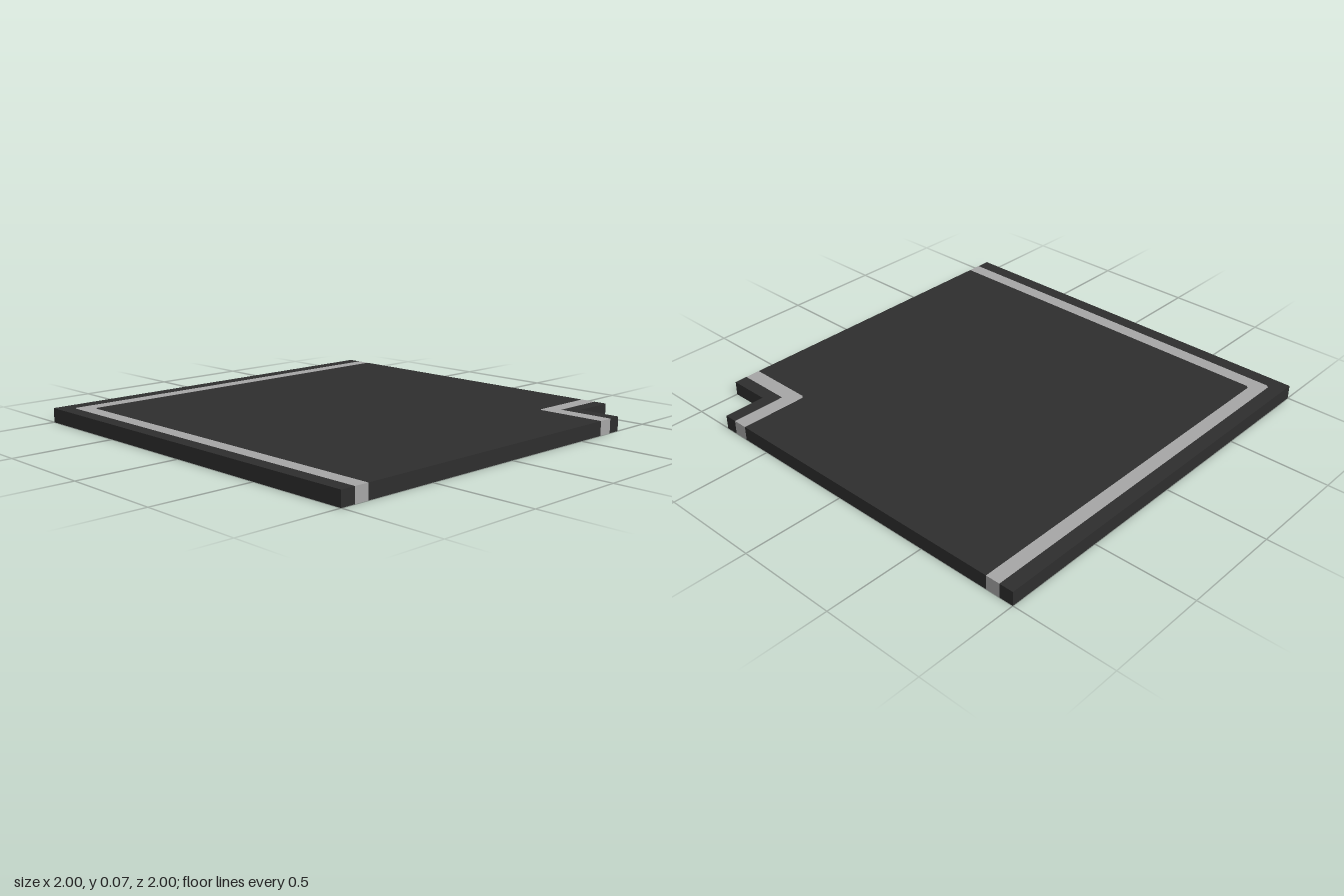
import * as THREE from 'three';

const HEIGHT = 0.07;
const CUT = 0.012; // small clipped corner on the painted lines

// L-shaped slab between two right-angle bends at offsets a and b, running out to the edge at 1
function bend(name, material, a, b, cutA, cutB) {
  const corner = (p, c) => (c > 0 ? [[p + c, p], [p, p + c]] : [[p, p]]);
  const points = [
    [1, a], [1, b],
    ...corner(b, cutB),
    [b, 1], [a, 1],
    ...corner(a, cutA).reverse(),
  ].map(([x, z]) => new THREE.Vector2(x, z));
  const geometry = new THREE.ExtrudeGeometry(new THREE.Shape(points), { depth: HEIGHT, bevelEnabled: false });
  geometry.rotateX(Math.PI / 2).translate(0, HEIGHT, 0);
  const mesh = new THREE.Mesh(geometry, material);
  mesh.name = name;
  return mesh;
}

export function createModel() {
  const asphalt = new THREE.MeshStandardMaterial({ name: 'asphalt', color: 0x2e2e2e });
  const paint = new THREE.MeshStandardMaterial({ name: 'linePaint', color: 0xa6a6a6 });

  const model = new THREE.Group();
  model.name = 'roadCornerTile';
  model.add(
    bend('outerShoulder', asphalt, -1, -0.93, 0, CUT),
    bend('outerLine', paint, -0.93, -0.86, CUT, CUT),
    bend('roadSurface', asphalt, -0.86, 0.65, CUT, CUT),
    bend('innerLine', paint, 0.65, 0.725, CUT, 0),
    bend('innerShoulder', asphalt, 0.725, 0.79, 0, 0),
  );
  return model;
}
